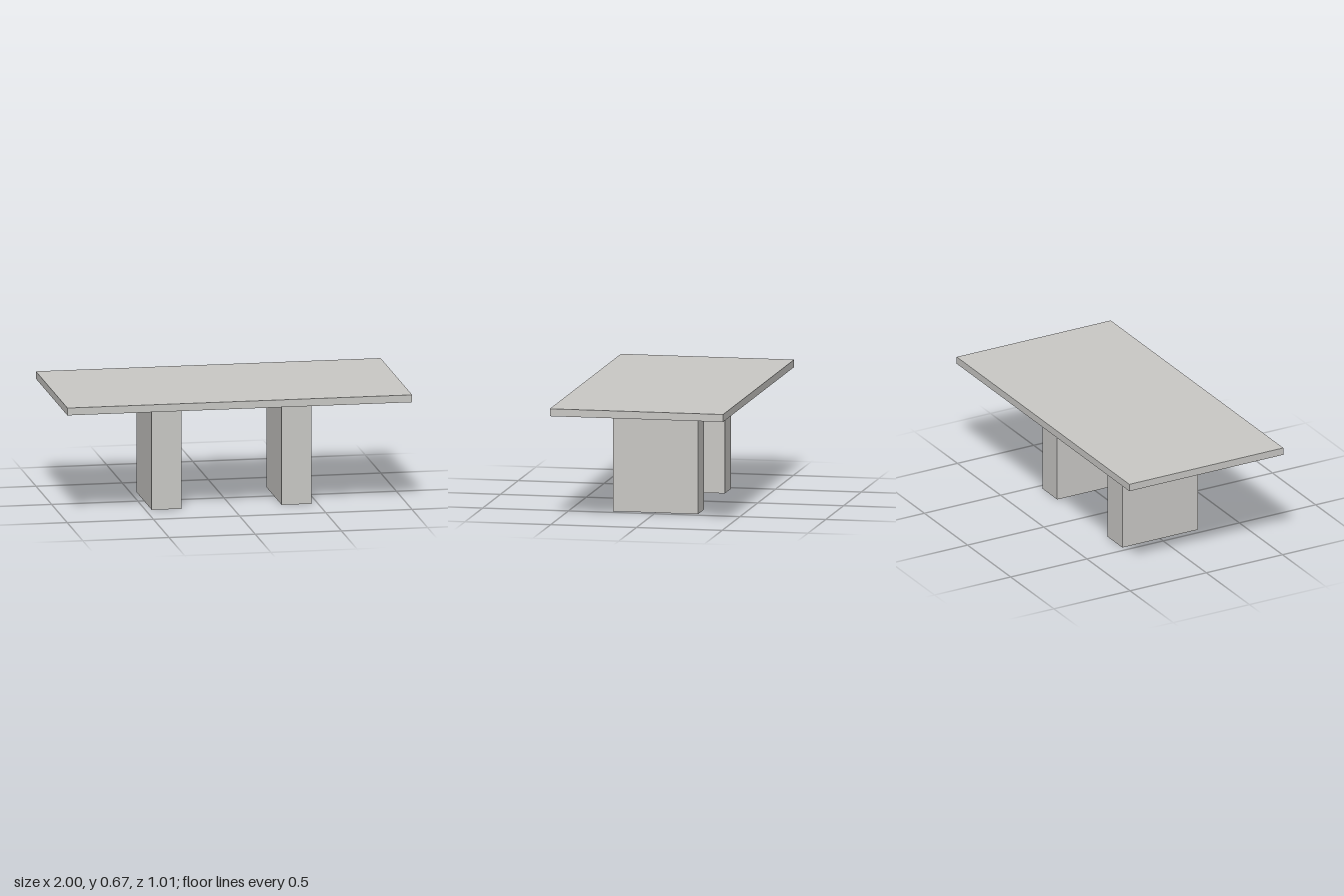
import * as THREE from 'three';

export function createModel() {
  const model = new THREE.Group();
  model.name = 'table';
  const stone = new THREE.MeshStandardMaterial({ color: 0xc8c7c4 });
  stone.name = 'light grey';

  const height = 0.67, thickness = 0.043, legHeight = height - thickness;

  function addBox(name, w, h, d, x, y) {
    const mesh = new THREE.Mesh(new THREE.BoxGeometry(w, h, d), stone);
    mesh.name = name;
    mesh.position.set(x, y, 0);
    model.add(mesh);
  }

  // Flat rectangular top
  addBox('tableTop', 2, thickness, 1.01, 0, height - thickness / 2);

  // Two solid slab legs
  for (const [name, x] of [['leftLeg', 0.376], ['rightLeg', -0.378]]) {
    addBox(name, 0.172, legHeight, 0.495, x, legHeight / 2);
  }

  return model;
}
